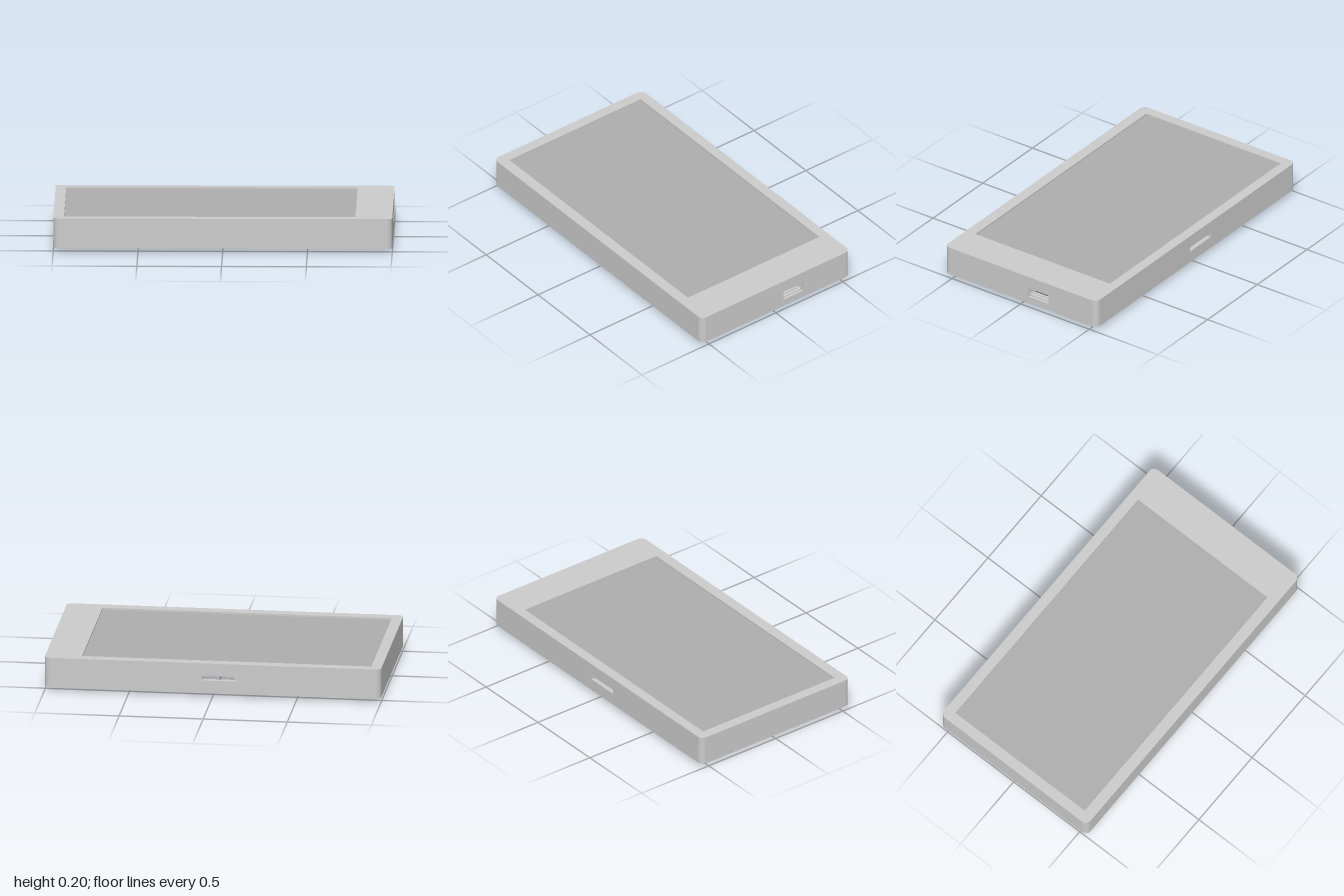
import * as THREE from 'three';
import { RoundedBoxGeometry } from 'three/addons/geometries/RoundedBoxGeometry.js';

const grey = (color = 0xcccccc) => new THREE.MeshStandardMaterial({ color });
const caseMat = grey(), screenMat = grey(0xaeaeae), boardMat = grey(0x999999);
const darkMat = grey(0x666666), metalMat = grey(0xd8d8e4), goldMat = grey(0xd8c040);

// Rectangle with rounded corners, as a shape or a hole
function roundedRect(w, h, r, Type = THREE.Shape) {
  const s = new Type(), a = w / 2 - r, b = h / 2 - r;
  s.absarc(a, b, r, 0, Math.PI / 2);
  s.absarc(-a, b, r, Math.PI / 2, Math.PI);
  s.absarc(-a, -b, r, Math.PI, Math.PI * 1.5);
  s.absarc(a, -b, r, Math.PI * 1.5, Math.PI * 2);
  s.closePath();
  return s;
}

// Hole from [x, z] points of the plan
const planHole = (points) => new THREE.Path(points.map(([x, z]) => new THREE.Vector2(x, -z)));

export function createModel() {
  const group = new THREE.Group();

  const add = (name, geometry, material, x = 0, y = 0, z = 0) => {
    const mesh = new THREE.Mesh(geometry, material);
    mesh.name = name;
    mesh.position.set(x, y, z);
    group.add(mesh);
    return mesh;
  };
  const box = (name, x0, x1, y0, y1, z0, z1, material) =>
    add(name, new THREE.BoxGeometry(x1 - x0, y1 - y0, z1 - z0), material,
      (x0 + x1) / 2, (y0 + y1) / 2, (z0 + z1) / 2);
  // Plan shape extruded upwards from y0 to y1
  const slab = (name, shape, y0, y1, material) => {
    const g = new THREE.ExtrudeGeometry(shape, { depth: y1 - y0, bevelEnabled: false, curveSegments: 8 });
    return add(name, g.rotateX(-Math.PI / 2), material, 0, y0, 0);
  };

  // Stepped opening in the underside
  const opening = [
    [0.87, -0.49], [0.62, -0.49], [0.62, -0.52], [-0.55, -0.52], [-0.55, -0.39],
    [-0.925, -0.39], [-0.925, 0.24], [-0.745, 0.24], [-0.745, 0.475], [-0.58, 0.475],
    [-0.58, 0.53], [0.335, 0.53], [0.335, 0.48], [0.87, 0.48],
  ];
  // The same edge walked from one side of the card slot round to the other
  const fromSlot = [...opening.slice(0, 3).reverse(), ...opening.slice(3).reverse()];

  // Case outline, with a pocket for the side port or a slot cut through the back wall
  const W = 1, D = 0.5535, R = 0.035;
  const outline = (port, slot) => {
    const s = new THREE.Shape();
    s.moveTo(W, -D + R);
    if (port) [[W, 0.055], [0.9, 0.055], [0.9, 0.205], [W, 0.205]].forEach(([x, y]) => s.lineTo(x, y));
    s.absarc(W - R, D - R, R, 0, Math.PI / 2);
    if (slot) {
      const cut = [[0.06, -D], [0.06, -0.52], ...fromSlot, [-0.145, -0.52], [-0.145, -D]];
      cut.forEach(([x, z]) => s.lineTo(x, -z));
    }
    s.absarc(-W + R, D - R, R, Math.PI / 2, Math.PI);
    s.absarc(-W + R, -D + R, R, Math.PI, Math.PI * 1.5);
    s.absarc(W - R, -D + R, R, Math.PI * 1.5, Math.PI * 2);
    s.closePath();
    return s;
  };

  // Case walls in layers
  const layers = [
    [0.026, 0.07, false, false], [0.07, 0.1, true, false],
    [0.1, 0.128, true, true], [0.128, 0.155, false, false],
  ];
  for (const [y0, y1, port, slot] of layers) {
    const s = outline(port, slot);
    if (!slot) s.holes.push(planHole(opening));
    slab('caseWall', s, y0, y1, caseMat);
  }

  // Top frame with the display window
  const top = outline(false, false);
  top.holes.push(planHole([[-0.937, -0.492], [0.782, -0.492], [0.782, 0.487], [-0.937, 0.487]]));
  slab('topFrame', top, 0.155, 0.205, caseMat);
  box('screen', -0.94, 0.785, 0.15, 0.194, -0.495, 0.49, screenMat);

  // Circuit board closing the cavity
  box('circuitBoard', -0.93, 0.875, 0.129, 0.145, -0.525, 0.535, boardMat);

  // Battery pack standing out of the underside
  add('battery', new RoundedBoxGeometry(0.826, 0.092, 0.562, 4, 0.022), caseMat, -0.504, 0.046, -0.065);

  // Two rows of header pins
  const pin = new THREE.CylinderGeometry(0.007, 0.007, 0.006, 8);
  for (let i = 0; i < 30; i++)
    for (const z of [0.415, 0.45]) add('headerPin', pin, darkMat, 0.27 - i * 0.034, 0.128, z);

  // Radio module and ribbon socket with its row of contacts
  box('radioModule', 0.5, 0.8, 0.112, 0.129, 0.13, 0.43, boardMat);
  box('ribbonSocket', 0.52, 0.79, 0.1, 0.129, 0.05, 0.1, caseMat);
  for (let i = 0; i < 14; i++)
    box('ribbonContact', 0.532 + i * 0.018, 0.54 + i * 0.018, 0.112, 0.129, 0.03, 0.05, goldMat);

  // Open box connector with pins
  const socket = roundedRect(0.18, 0.16, 0.004);
  socket.holes.push(roundedRect(0.155, 0.135, 0.004, THREE.Path));
  slab('plugSocket', socket, 0.06, 0.129, caseMat).position.set(0.42, 0.06, -0.07);
  for (const dx of [-0.035, 0, 0.035])
    box('plugPin', 0.415 + dx, 0.425 + dx, 0.075, 0.129, -0.075, -0.065, goldMat);

  // Memory card reader set back from the side slot
  box('cardReader', -0.14, 0.06, 0.1, 0.129, -0.45, -0.28, metalMat);

  // Small push buttons beside the reader
  for (const x of [-0.26, -0.38, -0.5]) {
    box('buttonBody', x - 0.045, x + 0.045, 0.1, 0.129, -0.44, -0.37, metalMat);
    box('buttonCap', x - 0.022, x + 0.022, 0.106, 0.122, -0.465, -0.438, darkMat);
  }

  // Side port: bezel, metal shell and tongue, facing +x
  const ring = (name, w, h, r, w2, h2, r2, x0, x1, material) => {
    const s = roundedRect(w, h, r);
    s.holes.push(roundedRect(w2, h2, r2, THREE.Path));
    const g = new THREE.ExtrudeGeometry(s, { depth: x1 - x0, bevelEnabled: false, curveSegments: 8 });
    add(name, g.rotateY(Math.PI / 2), material, x0, 0.1, -0.13);
  };
  ring('portBezel', 0.15, 0.058, 0.004, 0.136, 0.046, 0.018, 0.9, 0.985, caseMat);
  ring('portShell', 0.118, 0.03, 0.0145, 0.108, 0.02, 0.0095, 0.9, 0.975, caseMat);
  box('portTongue', 0.9, 0.965, 0.096, 0.104, -0.175, -0.085, darkMat);

  return group;
}
